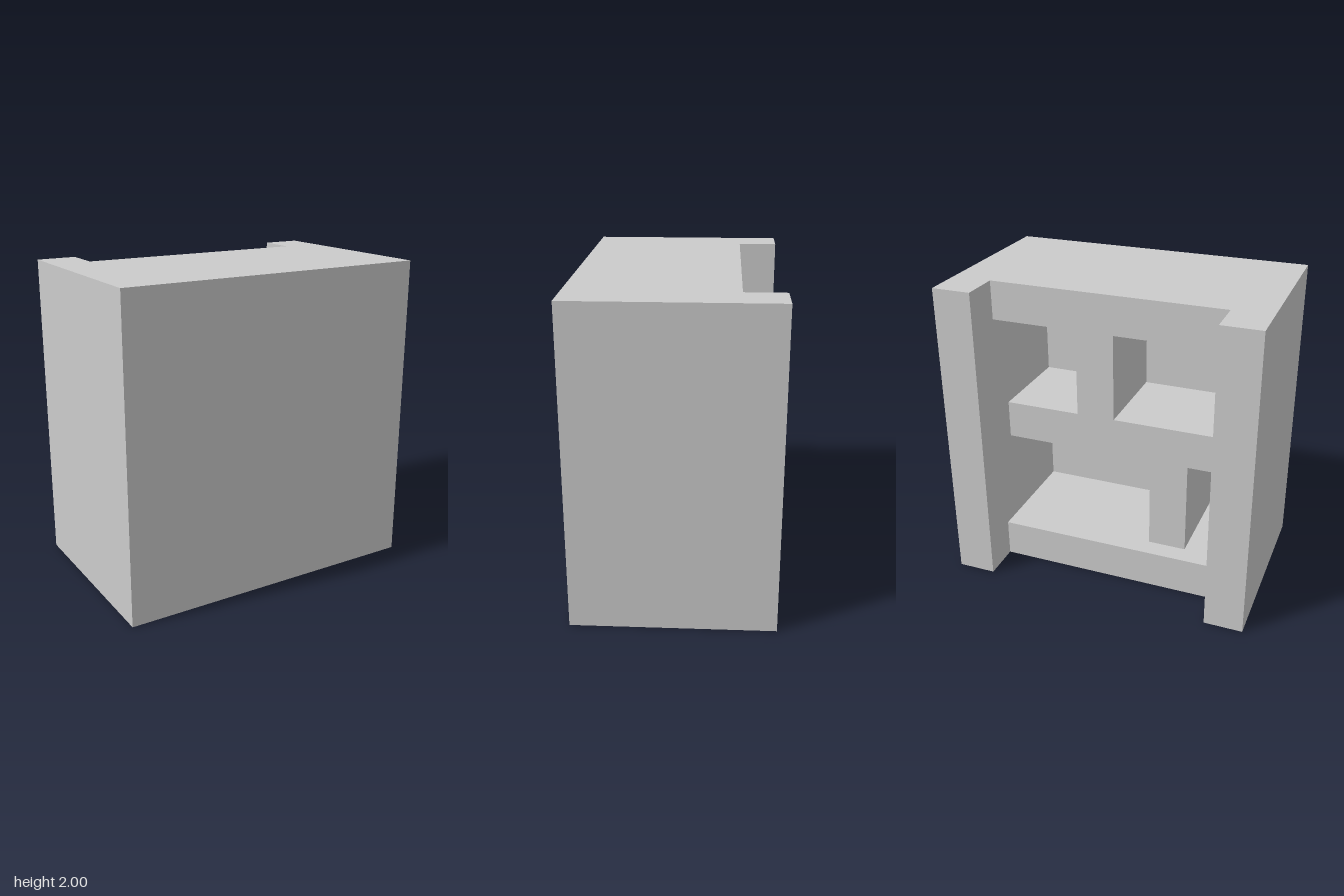
import * as THREE from 'three';

const material = new THREE.MeshStandardMaterial({ color: 0xcccccc, flatShading: true });
const T = 0.25; // board thickness
const PANEL_Z = 0.375; // inner face of the closed panel

// Board spanning the given ranges on each axis
function board(name, [x0, x1], [y0, y1], [z0, z1]) {
  const mesh = new THREE.Mesh(new THREE.BoxGeometry(x1 - x0, y1 - y0, z1 - z0), material);
  mesh.position.set((x0 + x1) / 2, (y0 + y1) / 2, (z0 + z1) / 2);
  mesh.name = name;
  return mesh;
}

export function createModel() {
  const group = new THREE.Group();
  group.name = 'shelfCabinet';
  const inner = [-0.75, 0.75];
  const capDepth = [-0.375, PANEL_Z];
  const shelfDepth = [-0.25, PANEL_Z];

  // Closed panel on the +z face
  group.add(board('closedPanel', [-1, 1], [0, 2], [PANEL_Z, PANEL_Z + T]));

  // Side walls, projecting past the shelves at the open side
  group.add(board('leftWall', [0.75, 1], [0, 2], [-0.625, PANEL_Z]));
  group.add(board('rightWall', [-1, -0.75], [0, 2], [-0.625, PANEL_Z]));

  // Top and bottom boards, set back from the wall edges
  group.add(board('topBoard', inner, [2 - T, 2], capDepth));
  group.add(board('bottomBoard', inner, [0, T], capDepth));

  // Middle shelf and the two staggered dividers
  group.add(board('middleShelf', inner, [0.875, 1.125], shelfDepth));
  group.add(board('upperDivider', [0, T], [1.125, 2 - T], shelfDepth));
  group.add(board('lowerDivider', [-0.5, -0.5 + T], [T, 0.875], shelfDepth));

  return group;
}
